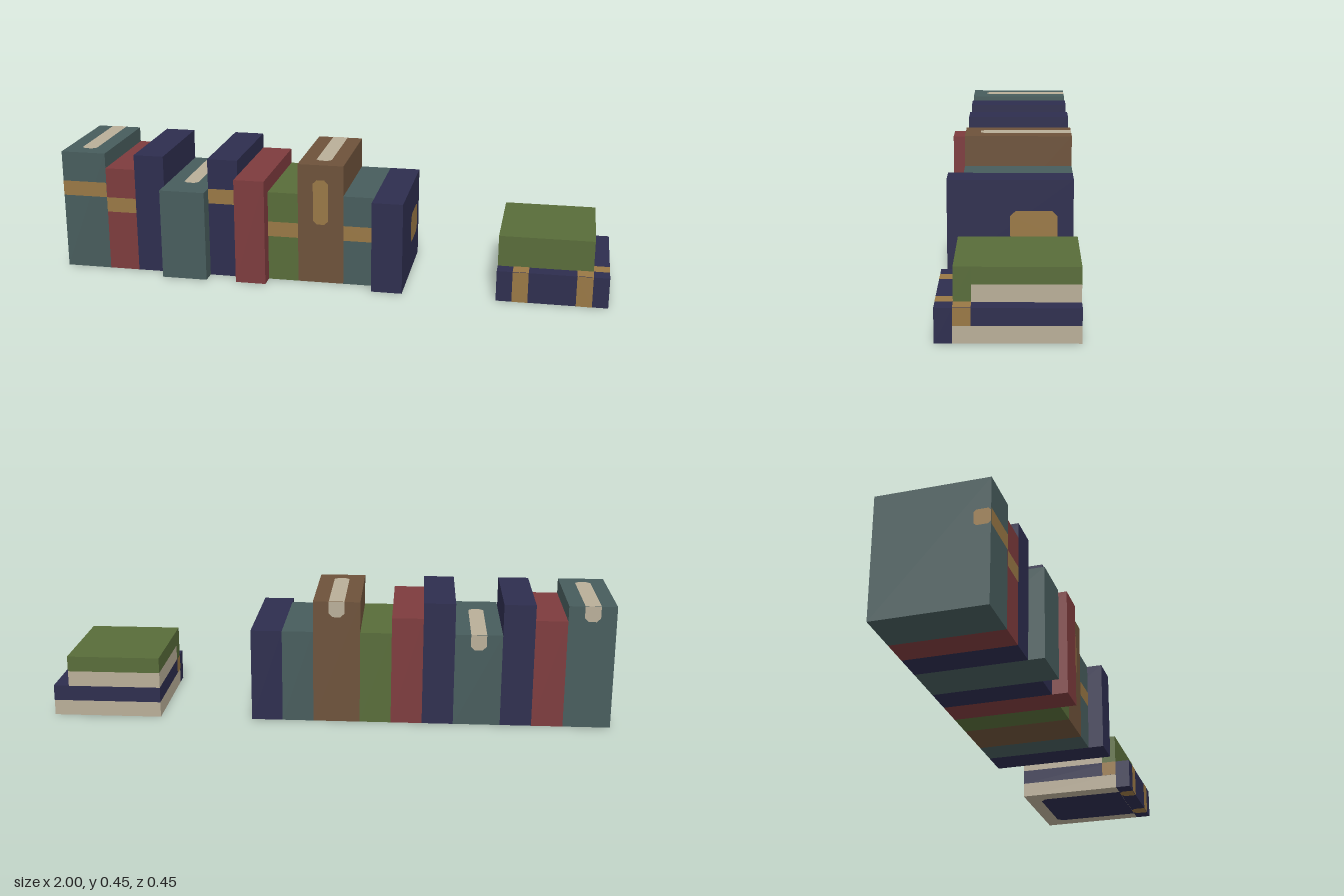
import * as THREE from 'three';

const U = 1 / 18; // modelling unit
const LIFT = 0.02; // gap of painted faces, in units

function mat(name, color) {
  const m = new THREE.MeshStandardMaterial({ color });
  m.name = name;
  return m;
}

export function createModel() {
  const teal = mat('teal cover', 0x475c5c);
  const red = mat('red cover', 0x7d3b3d);
  const navy = mat('navy cover', 0x2d2d4e);
  const green = mat('green cover', 0x586c39);
  const brown = mat('brown cover', 0x6d523a);
  const gold = mat('gold trim', 0x997845);
  const paper = mat('paper', 0xb9ae98);

  const model = new THREE.Group();
  model.name = 'bookCollection';

  // Box between two corners given in units
  function block(parent, name, material, [x0, y0, z0], [x1, y1, z1]) {
    const mesh = new THREE.Mesh(new THREE.BoxGeometry(x1 - x0, y1 - y0, z1 - z0), material);
    mesh.position.set((x0 + x1) / 2, (y0 + y1) / 2, (z0 + z1) / 2);
    mesh.name = name;
    parent.add(mesh);
  }

  const turns = {
    front: [0, 0, 0], back: [0, Math.PI, 0],
    right: [0, Math.PI / 2, 0], left: [0, -Math.PI / 2, 0],
    top: [-Math.PI / 2, 0, 0], bottom: [Math.PI / 2, 0, 0],
  };

  // Flat painted face centred on a point, with clipped upper and lower corners
  function paint(parent, name, material, side, centre, w, h, cutTop = 0, cutLow = 0) {
    const a = w / 2, b = h / 2;
    const shape = new THREE.Shape([
      [-a + cutLow, -b], [a - cutLow, -b], [a, -b + cutLow], [a, b - cutTop],
      [a - cutTop, b], [-a + cutTop, b], [-a, b - cutTop], [-a, -b + cutLow],
    ].map(([x, y]) => new THREE.Vector2(x, y)));
    const mesh = new THREE.Mesh(new THREE.ShapeGeometry(shape), material);
    mesh.rotation.set(...turns[side]);
    mesh.position.set(...centre);
    mesh.translateZ(LIFT);
    mesh.name = name;
    parent.add(mesh);
  }

  // Upright books: start x, width, height, front z, cover, spine band y, paper strip
  const row = new THREE.Group();
  row.name = 'bookRow';
  const books = [
    [-18, 3, 8, 3, teal, 5, true],
    [-15, 2, 7, 3, red, 4, false],
    [-13, 2, 8, 3, navy, null, false],
    [-11, 3, 6, 4, teal, null, true],
    [-8, 2, 8, 3, navy, 5, false],
    [-6, 2, 7, 4, red, null, false],
    [-4, 2, 6, 3, green, 3, false],
    [-2, 3, 8, 3, brown, null, true],
    [1, 2, 6, 3, teal, 3, false],
    [3, 2, 6, 4, navy, null, false],
  ];
  books.forEach(([x, w, h, z, cover, band, strip], i) => {
    const book = new THREE.Group();
    book.name = `uprightBook${i + 1}`;
    const cx = x + w / 2;
    block(book, 'cover', cover, [x, 0, -4], [x + w, h, z]);
    if (band !== null) paint(book, 'spineBand', gold, 'front', [cx, band + 0.5, z], w, 1);
    if (strip) {
      paint(book, 'paperStrip', paper, 'top', [cx, h, -1], 1, 6, 0, 0.25);
      paint(book, 'paperEnd', paper, 'back', [cx, h - 0.5, -4], 1, 1, 0, 0.25);
    }
    row.add(book);
  });
  // Emblems on the outer covers and one spine
  paint(row, 'spineEmblem', gold, 'front', [-0.5, 5.5, 3], 1, 3, 0.25, 0.25);
  paint(row, 'coverEmblem', gold, 'right', [5, 3, -1.5], 3, 2, 0.35, 0.35);
  paint(row, 'bandEnd', gold, 'left', [-18, 5.5, 2.5], 1, 1, 0.15, 0.15);
  model.add(row);

  // Lying books: a page block under a cover, with a spine at the front
  const stack = new THREE.Group();
  stack.name = 'bookStack';
  function lyingBook(name, cover, x0, x1, y, z) {
    const book = new THREE.Group();
    book.name = name;
    block(book, 'pages', paper, [x0, y, -4], [x1, y + 1, z - 1]);
    block(book, 'topCover', cover, [x0, y + 1, -4], [x1, y + 2, z - 1]);
    block(book, 'spine', cover, [x0, y, z - 1], [x1, y + 2, z]);
    stack.add(book);
    return book;
  }
  const lower = lyingBook('lowerBook', navy, 11, 18, 0, 4);
  lyingBook('upperBook', green, 11, 17, 2, 3);

  // Lower book trim: wrapped spine bands, corner guards and the underside panel
  for (const x of [12.5, 16.5]) {
    paint(lower, 'spineBand', gold, 'front', [x, 1, 4], 1, 2);
    paint(lower, 'spineBandTop', gold, 'top', [x, 2, 3.5], 1, 1);
    paint(lower, 'spineBandBottom', gold, 'bottom', [x, 0, 3.5], 1, 1, 0, 0.25);
  }
  paint(lower, 'cornerTop', gold, 'top', [17.5, 2, 2.5], 1, 1);
  paint(lower, 'cornerRight', gold, 'right', [18, 1.5, 2.5], 1, 1);
  paint(lower, 'cornerLeft', gold, 'left', [11, 1.5, 2.5], 1, 1);
  paint(lower, 'bottomPanel', navy, 'bottom', [14.5, 0, 0], 5, 6, 0, 0.35);
  model.add(stack);

  model.scale.setScalar(U);
  return model;
}
